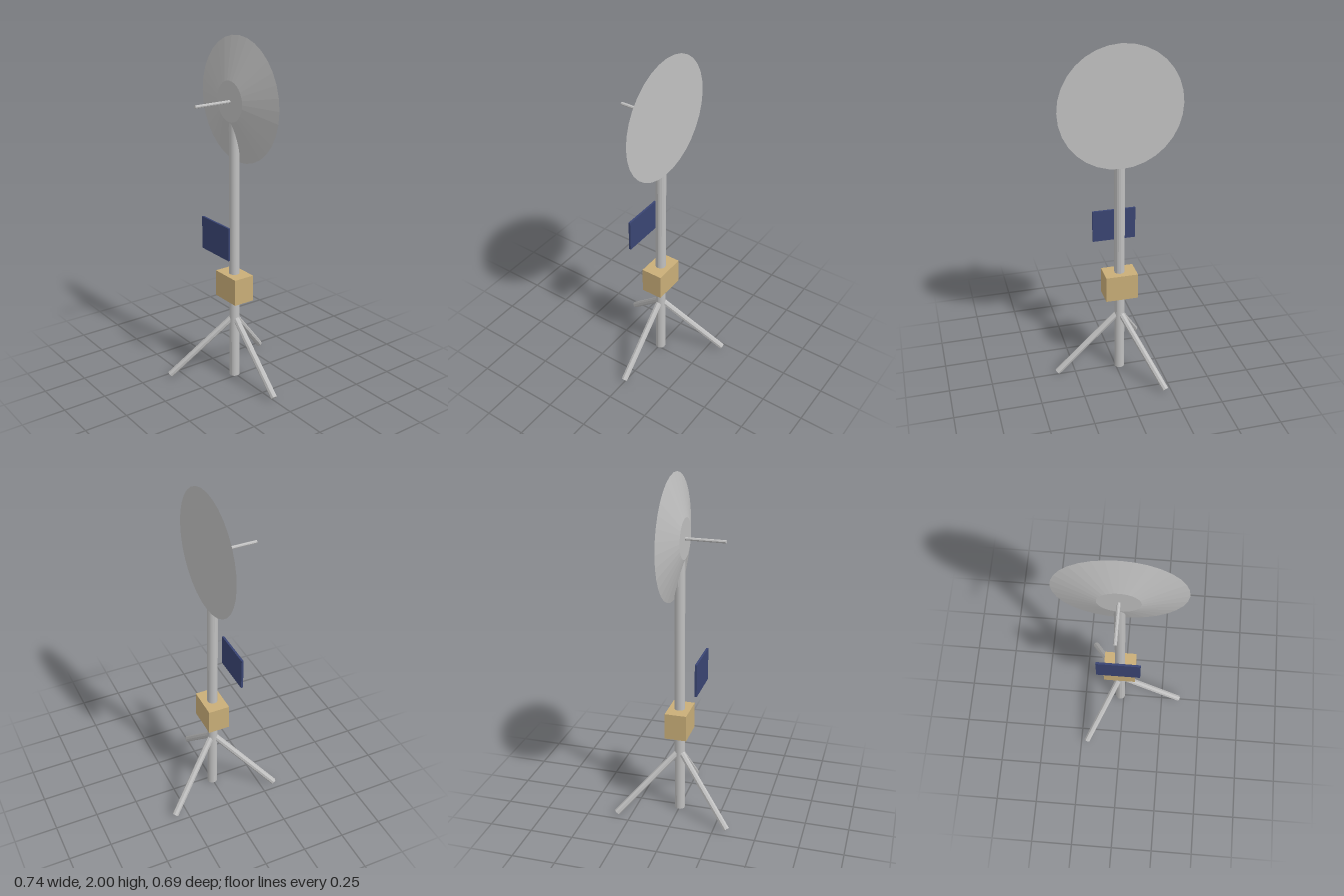
import * as THREE from 'three';

const material = (name, color) => {
  const m = new THREE.MeshStandardMaterial({ color, flatShading: true });
  m.name = name;
  return m;
};

export function createModel() {
  const model = new THREE.Group();
  model.name = 'dishStation';
  const grey = material('grey metal', 0xc0c0c0);
  const tan = material('tan casing', 0xc9ae78);
  const navy = material('navy panel', 0x3a4573);
  const axisX = -0.023; // the mast stands slightly off centre

  const add = (name, geometry, mat, x, y, z) => {
    const mesh = new THREE.Mesh(geometry, mat);
    mesh.name = name;
    mesh.position.set(x, y, z);
    model.add(mesh);
    return mesh;
  };

  // Round bar between two points
  const bar = (name, a, b, radius, sides) => {
    const dir = b.clone().sub(a);
    const mid = a.clone().add(b).multiplyScalar(0.5);
    const mesh = add(name, new THREE.CylinderGeometry(radius, radius, dir.length(), sides), grey, mid.x, mid.y, mid.z);
    mesh.quaternion.setFromUnitVectors(new THREE.Vector3(0, 1, 0), dir.normalize());
  };

  // Mast
  add('mast', new THREE.CylinderGeometry(0.03, 0.03, 1.6, 16), grey, axisX, 0.8, 0);

  // Tripod legs, 120 degrees apart
  for (let i = 0; i < 3; i++) {
    const t = (i * Math.PI * 2) / 3;
    const at = (r, y) => new THREE.Vector3(axisX + r * Math.cos(t), y, r * Math.sin(t));
    bar('leg' + (i + 1), at(0.38, 0.018), at(0.015, 0.37), 0.0185, 8);
  }

  // Equipment box and flat panel
  add('equipmentBox', new THREE.BoxGeometry(0.188, 0.155, 0.126), tan, axisX, 0.575, 0);
  add('solarPanel', new THREE.BoxGeometry(0.253, 0.19, 0.012), navy, axisX, 0.894, 0.126);

  // Solid dish with its narrow end forward, and the feed rod
  const dish = new THREE.CylinderGeometry(0.113, 0.347, 0.063, 32);
  dish.rotateX(Math.PI / 2);
  add('dish', dish, grey, axisX, 1.653, -0.0005);
  bar('feedRod', new THREE.Vector3(axisX, 1.653, 0.02), new THREE.Vector3(axisX, 1.653, 0.253), 0.009, 8);

  return model;
}
